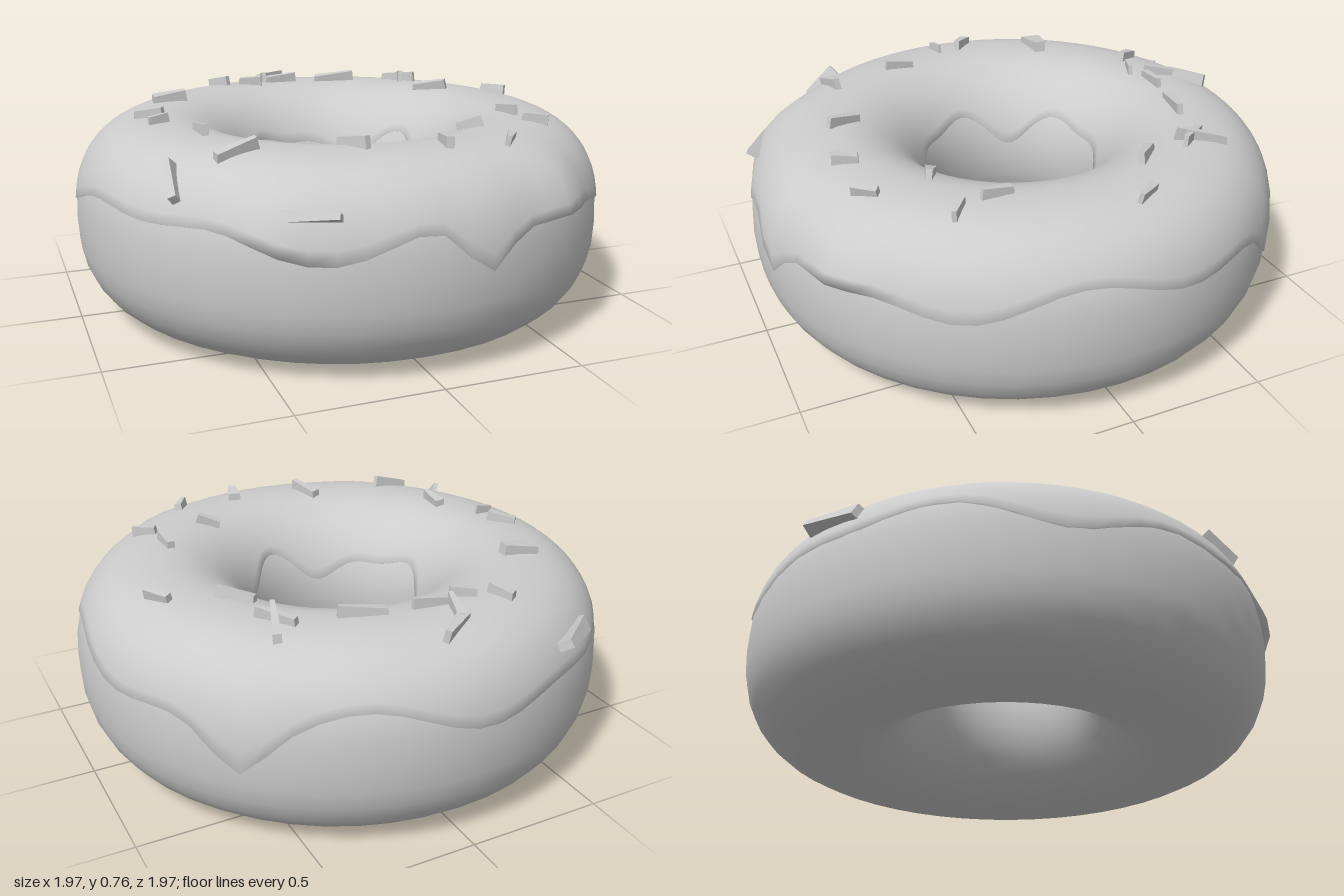
import * as THREE from 'three';

const RING = 0.65, MID = 0.36;

// Point on the ring's cross-section: t = 0 outside, PI/2 top, PI inside
function section(t, s = 1) {
  const c = Math.cos(t), n = Math.sin(t);
  const soft = (v, e) => Math.sign(v) * Math.abs(v) ** e;
  const e = c > 0 ? 0.82 : 0.97;
  return new THREE.Vector2(RING + 0.336 * s * soft(c, e), MID + 0.355 * s * soft(n, e));
}

// Smooth bump around angle a, used for drips and lumps
function bump(u, a, width) {
  const d = Math.atan2(Math.sin(u - a), Math.cos(u - a)) / width;
  return Math.exp(-d * d);
}

// Icing shell with a wavy lower edge, tucked into the dough at both rims
function icingGeometry() {
  const U = 72, V = 24, pos = [], index = [];
  for (let i = 0; i < U; i++) {
    const u = (i / U) * Math.PI * 2;
    const outer = 0.3 + 0.1 * Math.sin(5 * u + 1) + 0.07 * Math.sin(9 * u)
      - 0.4 * bump(u, 1.42, 0.12) - 0.3 * bump(u, -0.78, 0.14);
    const inner = Math.PI - 0.4 + 0.14 * Math.sin(4 * u) + 0.08 * Math.sin(7 * u + 2);
    const lump = 0.035 * (bump(u, 1.02, 0.12) + bump(u, 2.12, 0.14));
    for (let j = 0; j <= V; j++) {
      const rim = j === 0 || j === V;
      const k = Math.min(1, Math.max(0, (j - 1) / (V - 2)));
      const t = outer + (inner - outer) * k;
      const p = section(t, rim ? 0.96 : 1.014);
      const r = p.x + (rim ? 0 : lump * Math.max(0, Math.cos(t)));
      pos.push(r * Math.cos(u), p.y, r * Math.sin(u));
    }
  }
  for (let i = 0; i < U; i++) {
    for (let j = 0; j < V; j++) {
      const a = i * (V + 1) + j, b = ((i + 1) % U) * (V + 1) + j;
      index.push(a, a + 1, b, b, a + 1, b + 1);
    }
  }
  const g = new THREE.BufferGeometry();
  g.setAttribute('position', new THREE.Float32BufferAttribute(pos, 3));
  g.setIndex(index);
  g.computeVertexNormals();
  return g;
}

// Chipped, wedge-shaped sprinkle, one unit long
function sprinkleGeometry(length, width) {
  const g = new THREE.BoxGeometry(length, 0.06, width);
  const p = g.attributes.position;
  for (let i = 0; i < p.count; i++) {
    if (p.getX(i) > 0) p.setZ(i, p.getZ(i) * 0.55);
    else if (p.getY(i) > 0) p.setX(i, p.getX(i) * 0.8);
  }
  g.computeVertexNormals();
  return g;
}

// Angle of the cross-section at a given distance from the axis
function angleAt(r) {
  let lo = 0, hi = Math.PI;
  for (let i = 0; i < 30; i++) {
    const m = (lo + hi) / 2;
    if (section(m, 1.014).x > r) lo = m; else hi = m;
  }
  return lo;
}

// x, z, heading in degrees (from +x towards +z), length, width
const SPRINKLES = [
  [-0.57, -0.37, 5, 0.14, 0.08], [-0.70, -0.08, 40, 0.12, 0.04],
  [-0.69, 0.04, -8, 0.08, 0.02], [-0.58, 0.24, 90, 0.12, 0.04],
  [-0.54, 0.54, -8, 0.16, 0.04], [-0.16, 0.60, 68, 0.14, 0.04],
  [0.14, 0.68, 105, 0.10, 0.05], [0.34, 0.45, 25, 0.10, 0.04],
  [0.57, 0.30, 85, 0.12, 0.03], [0.60, 0.45, 35, 0.10, 0.03],
  [0.37, 0.68, 125, 0.10, 0.03], [0.75, -0.15, 55, 0.11, 0.03],
  [0.52, -0.28, 40, 0.15, 0.04], [0.49, -0.53, 110, 0.20, 0.03],
  [0.47, -0.50, 50, 0.16, 0.03], [0.20, -0.59, 15, 0.18, 0.04],
  [-0.03, -0.78, -38, 0.17, 0.04], [-0.08, -0.70, 105, 0.14, 0.03],
  [-0.17, -0.61, 25, 0.10, 0.03], [-0.29, -0.66, 55, 0.10, 0.04],
  [-0.03, -0.63, 5, 0.14, 0.03], [-0.50, -0.80, -30, 0.24, 0.06],
  [-0.74, 0.53, -60, 0.16, 0.03], [-0.40, 0.86, 25, 0.20, 0.04],
];

export function createModel() {
  const grey = new THREE.MeshStandardMaterial({ color: 0xcccccc });
  grey.name = 'plain grey';
  const model = new THREE.Group();
  model.name = 'ringDoughnut';
  const add = (geometry, name, parent = model) => {
    const mesh = new THREE.Mesh(geometry, grey);
    mesh.name = name;
    parent.add(mesh);
    return mesh;
  };

  // Dough ring
  const profile = [];
  for (let i = 0; i <= 32; i++) profile.push(section(-Math.PI / 2 + (i / 32) * Math.PI * 2));
  add(new THREE.LatheGeometry(profile, 48), 'dough');

  // Icing
  add(icingGeometry(), 'icing');

  // Sprinkles lying on the icing
  const sprinkles = new THREE.Group();
  sprinkles.name = 'sprinkles';
  model.add(sprinkles);
  for (const [x, z, heading, length, width] of SPRINKLES) {
    const r = Math.hypot(x, z), t = angleAt(r);
    const p = section(t, 1.014), q = section(t + 0.02, 1.014);
    const slope = Math.atan2(p.x - q.x, q.y - p.y);
    const normal = new THREE.Vector3(
      (x / r) * Math.cos(slope), Math.sin(slope), (z / r) * Math.cos(slope));
    const a = THREE.MathUtils.degToRad(heading);
    const along = new THREE.Vector3(Math.cos(a), 0, Math.sin(a));
    along.addScaledVector(normal, -along.dot(normal)).normalize();
    const side = new THREE.Vector3().crossVectors(along, normal);
    const mesh = add(sprinkleGeometry(length, width), 'sprinkle', sprinkles);
    mesh.quaternion.setFromRotationMatrix(new THREE.Matrix4().makeBasis(along, normal, side));
    mesh.rotateZ(0.12);
    mesh.position.set(x, p.y, z);
  }
  return model;
}
